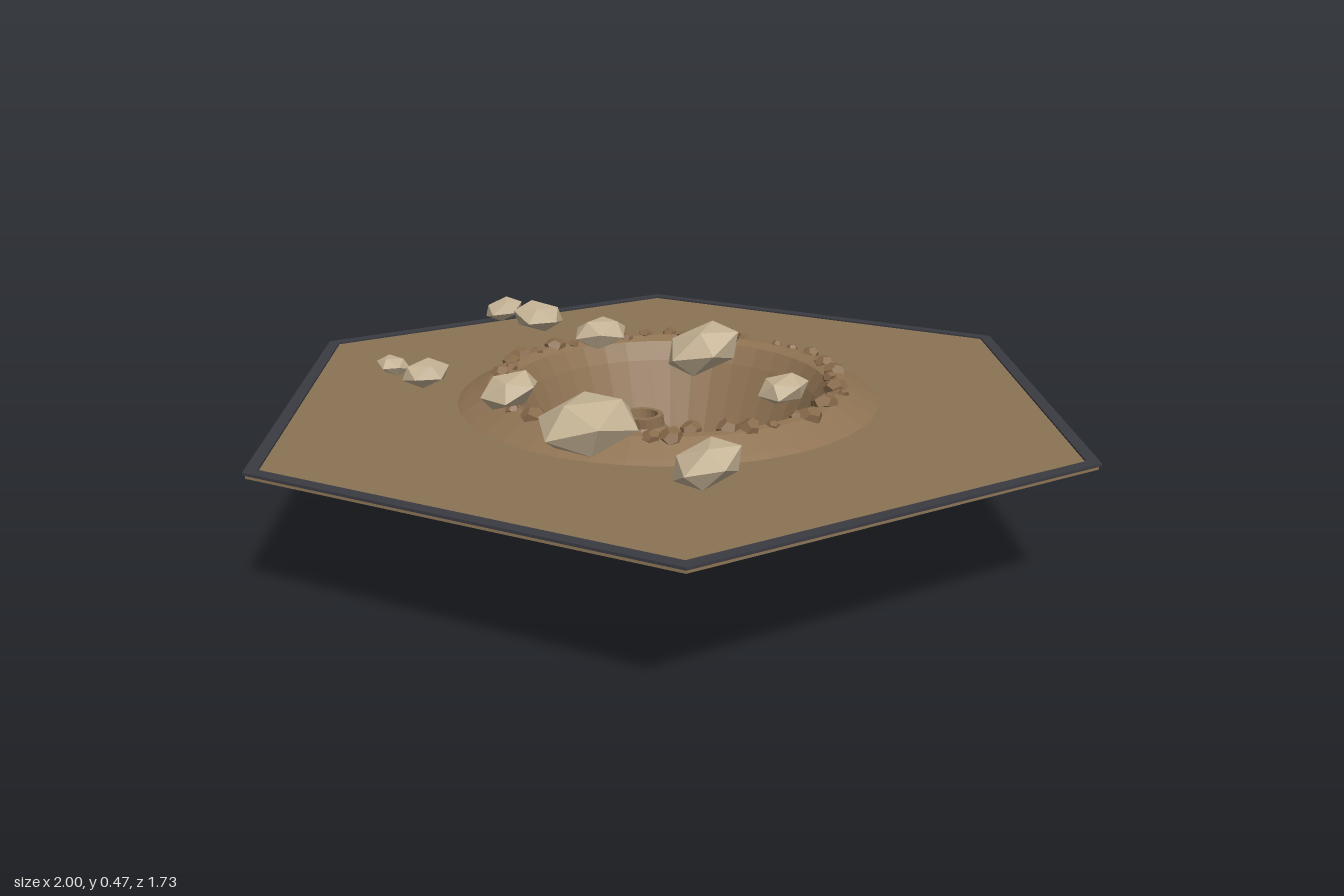
import * as THREE from 'three';

const paint = (name, color, extra = {}) => {
  const m = new THREE.MeshStandardMaterial({ color, ...extra });
  m.name = name;
  return m;
};

function hexPoints(r) {
  return Array.from({ length: 6 }, (_, k) =>
    new THREE.Vector2(r * Math.cos(k * Math.PI / 3), r * Math.sin(k * Math.PI / 3)));
}

// Flat hexagonal slab with a hexagonal hole, lying at height y
function hexSlab(outer, inner, y, depth) {
  const shape = new THREE.Shape(hexPoints(outer));
  shape.holes.push(new THREE.Path(hexPoints(inner)));
  const g = new THREE.ExtrudeGeometry(shape, { depth, bevelEnabled: false });
  return g.rotateX(-Math.PI / 2).translate(0, y, 0);
}

const lathe = (pts, seg) =>
  new THREE.LatheGeometry(pts.map(([r, y]) => new THREE.Vector2(r, y)), seg);

function seeded(seed) {
  return () => (seed = (seed * 16807) % 2147483647) / 2147483647;
}

export function createModel() {
  const group = new THREE.Group();
  const two = { side: THREE.DoubleSide };
  const soil = paint('soil', 0x8b7355);
  const earth = paint('craterEarth', 0x8f7353, { ...two, flatShading: true });
  const edge = paint('darkEdge', 0x3a3a42);
  const pit = paint('pitFloor', 0x222426, two);
  const pebble = paint('pebble', 0x86694a, { flatShading: true });
  const stone = paint('paleStone', 0xc4b294, { flatShading: true });
  const add = (name, geo, mat, parent = group) => {
    const mesh = new THREE.Mesh(geo, mat);
    mesh.name = name;
    parent.add(mesh);
    return mesh;
  };

  // Ground tile and its dark border
  add('groundTile', hexSlab(0.995, 0.48, 0.302, 0.01), soil);
  add('tileBorder', hexSlab(1, 0.968, 0.31, 0.006), edge);

  // Crater: raised rim, funnel wall, dark floor
  add('craterRim', lathe([[0.484, 0.313], [0.47, 0.322], [0.415, 0.353], [0.395, 0.355], [0.37, 0.345]], 40), earth);
  add('craterWall', lathe([[0.37, 0.345], [0.345, 0.302], [0.215, 0.002]], 40), earth);
  add('craterFloor', new THREE.CircleGeometry(0.215, 40).rotateX(-Math.PI / 2), pit);

  // Ridged vent leaning out of the floor, hollow at the top
  const profile = [[0.165, 0.004], [0.165, 0.02], [0.145, 0.03], [0.145, 0.05], [0.12, 0.06], [0.12, 0.085],
    [0.09, 0.1], [0.09, 0.13], [0.064, 0.145], [0.054, 0.18], [0.06, 0.19], [0.05, 0.2], [0.046, 0.23],
    [0.053, 0.24], [0.046, 0.25], [0.048, 0.275], [0.036, 0.275], [0.032, 0.2], [0, 0.2]];
  const vent = lathe(profile, 20);
  const p = vent.attributes.position;
  for (let i = 0; i < p.count; i++) {
    const t = p.getY(i) / 0.275;
    p.setX(i, p.getX(i) - 0.045 * t);
    p.setZ(i, p.getZ(i) + 0.04 * t);
  }
  vent.computeVertexNormals();
  add('vent', vent, earth);

  // Pebbles scattered around the rim
  const rnd = seeded(41);
  const pebbles = new THREE.Group();
  pebbles.name = 'rimPebbles';
  group.add(pebbles);
  for (let i = 0; i < 44; i++) {
    const a = (i + 0.7 * rnd()) / 44 * Math.PI * 2;
    const r = 0.375 + 0.04 * rnd();
    const s = 0.014 + 0.018 * rnd();
    const m = add('pebble', new THREE.DodecahedronGeometry(s), pebble, pebbles);
    m.position.set(r * Math.cos(a), 0.352, r * Math.sin(a));
    m.scale.y = 0.75;
    m.rotation.set(rnd() * 0.6, rnd() * 6, rnd() * 0.6);
  }

  // Pale boulders thrown out of the crater: x, y, z, radius, tilt
  const boulders = [
    [-0.73, 0.345, -0.41, 0.055, 0.2], [-0.54, 0.375, -0.29, 0.07, -0.1],
    [-0.28, 0.39, -0.17, 0.07, 0.1], [0.05, 0.415, -0.08, 0.098, 0.3],
    [-0.65, 0.345, 0.18, 0.042, -0.2], [-0.48, 0.375, 0.28, 0.058, 0.1],
    [-0.19, 0.4, 0.37, 0.07, 0.25], [0.08, 0.4, 0.49, 0.112, 0.12],
    [0.43, 0.425, 0.65, 0.074, 0.3], [0.34, 0.41, 0.11, 0.058, 0.2],
  ];
  const rocks = new THREE.Group();
  rocks.name = 'boulders';
  group.add(rocks);
  boulders.forEach(([x, y, z, r, tilt], i) => {
    const geo = new THREE.IcosahedronGeometry(r).rotateX(0.55).rotateY(i * 1.3).scale(1, 0.55, 1);
    const m = add('boulder', geo, stone, rocks);
    m.position.set(x, y, z);
    m.rotation.set(tilt * 0.7, 0, tilt);
  });
  return group;
}
